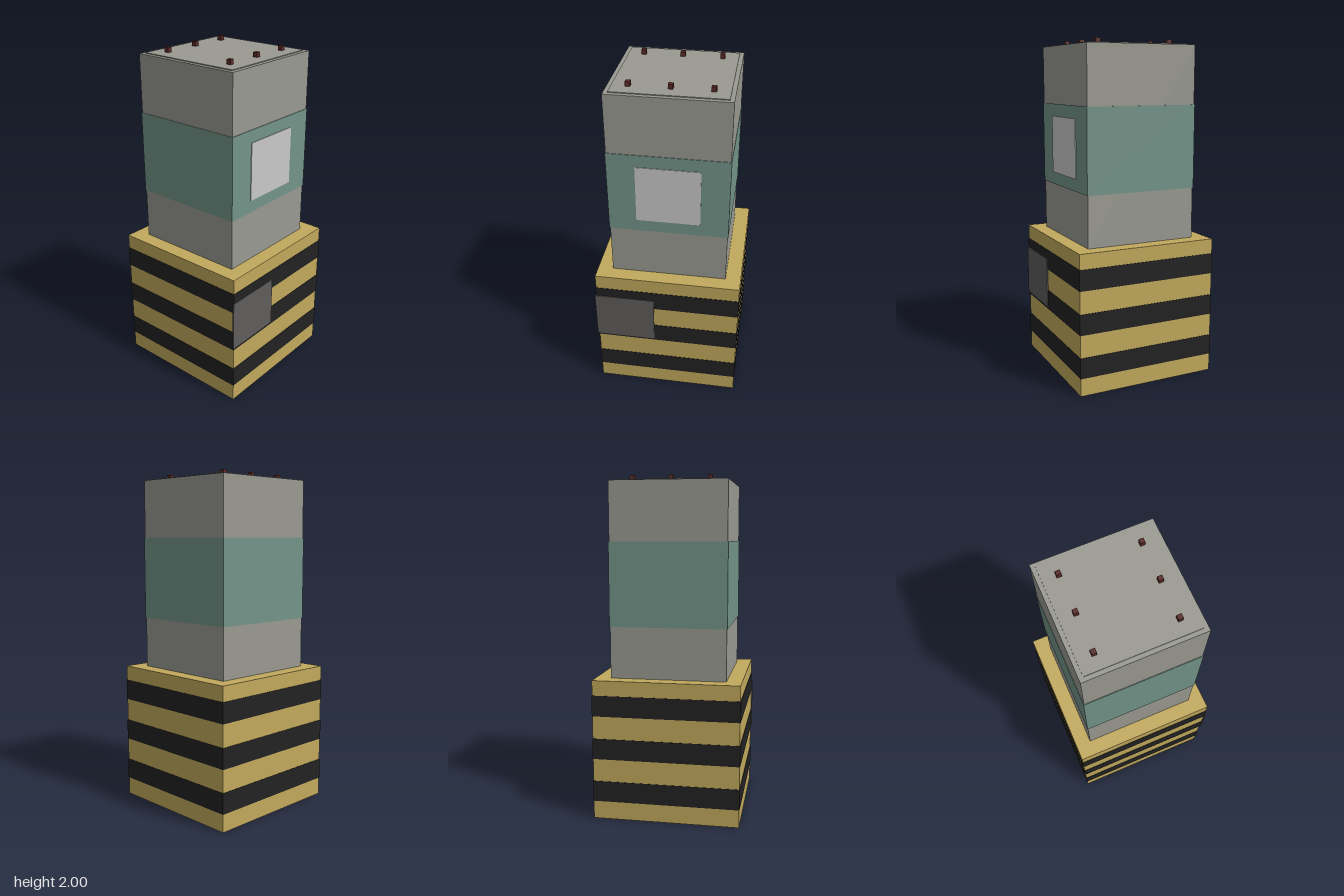
import * as THREE from 'three';

const mat = (name, color) => {
  const m = new THREE.MeshStandardMaterial({ color });
  m.name = name;
  return m;
};

export function createModel() {
  const gold = mat('gold', 0xc2a95c);
  const black = mat('black', 0x222222);
  const grey = mat('stone grey', 0x9a9a92);
  const green = mat('sea green', 0x739489);
  const light = mat('light grey', 0xc9c9c9);
  const dark = mat('dark grey', 0x5f5d5c);
  const brown = mat('dark red brown', 0x5a2a26);

  const model = new THREE.Group();
  model.name = 'stripedTower';
  const body = new THREE.Group();
  body.name = 'body';
  body.position.set(0.002, 0, -0.003);
  model.add(body);

  // Box given by its low and high corners
  const box = (name, material, [x0, y0, z0], [x1, y1, z1]) => {
    const mesh = new THREE.Mesh(new THREE.BoxGeometry(x1 - x0, y1 - y0, z1 - z0), material);
    mesh.position.set((x0 + x1) / 2, (y0 + y1) / 2, (z0 + z1) / 2);
    mesh.name = name;
    body.add(mesh);
  };
  // Square block centred on the tower axis
  const block = (name, material, half, y0, y1) =>
    box(name, material, [-half, y0, -half], [half, y1, half]);

  // Base with three wrapped stripes
  block('base', gold, 0.43, 0, 0.832);
  for (let i = 0; i < 3; i++) {
    const y = 0.106 + i * 0.257;
    block('baseStripe', black, 0.4325, y, y + 0.123);
  }
  box('basePanel', dark, [-0.439, 0.377, 0.43], [-0.078, 0.684, 0.4375]);

  // Upper tower with coloured band and window
  block('tower', grey, 0.34, 0.832, 1.968);
  block('towerBand', green, 0.3435, 1.135, 1.626);
  box('window', light, [-0.183, 1.208, 0.34], [0.183, 1.553, 0.347]);

  // Roof plate and its studs
  block('roofPlate', grey, 0.316, 1.968, 1.973);
  for (const x of [-0.226, 0, 0.226]) {
    for (const z of [-0.226, 0.226]) {
      box('roofStud', brown, [x - 0.0135, 1.97, z - 0.0135], [x + 0.0135, 2, z + 0.0135]);
    }
  }
  return model;
}
